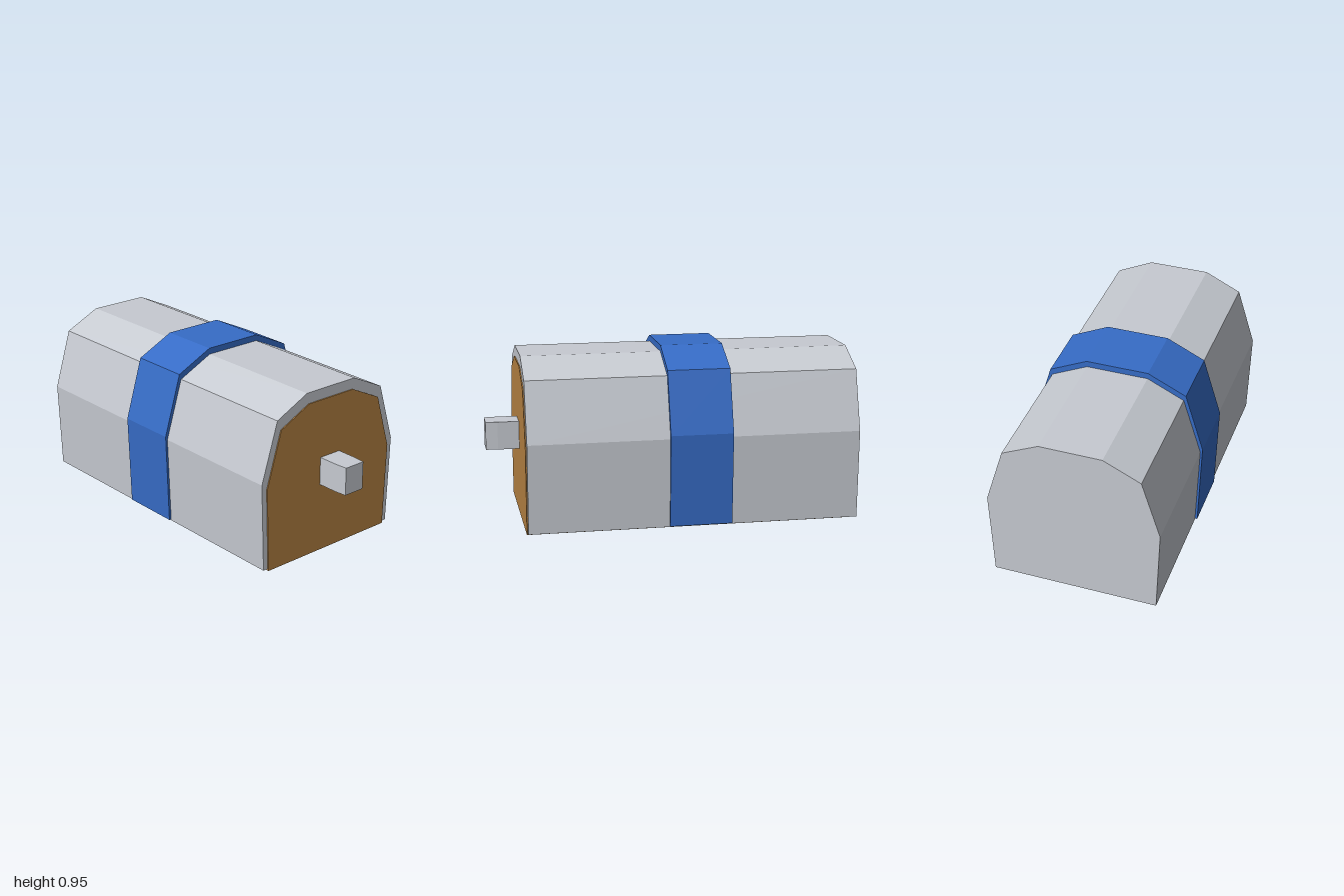
import * as THREE from 'three';

// Half profiles as [half width, height], from the base to the roof
const CORE = [[0.423, 0], [0.438, 0.467], [0.347, 0.77], [0.157, 0.862]];
const SHELL = [[0.453, 0.01], [0.47, 0.5], [0.37, 0.825], [0.169, 0.921]];
const BAND = [[0.466, 0.016], [0.482, 0.52], [0.381, 0.855], [0.171, 0.955]];

// Mirrors a half profile and extrudes it along x
function barrel(half, x0, x1) {
  const points = [
    ...half.map(([w, y]) => new THREE.Vector2(w, y)),
    ...half.map(([w, y]) => new THREE.Vector2(-w, y)).reverse(),
  ];
  const geometry = new THREE.ExtrudeGeometry(new THREE.Shape(points), {
    depth: x1 - x0, bevelEnabled: false,
  });
  return geometry.rotateY(Math.PI / 2).translate(x0, 0, 0);
}

// Upright plug with straight sides that taper slightly at the tip
function plug(y0, y1) {
  const outline = [[0.8, 0.068], [0.935, 0.068], [1, 0.062], [1, -0.062], [0.935, -0.068], [0.8, -0.068]];
  const shape = new THREE.Shape(outline.map(([x, z]) => new THREE.Vector2(x, z)));
  return new THREE.ExtrudeGeometry(shape, { depth: y1 - y0, bevelEnabled: false })
    .rotateX(-Math.PI / 2).translate(0, y0, 0);
}

function material(name, color) {
  const m = new THREE.MeshStandardMaterial({ color });
  m.name = name;
  return m;
}

export function createModel() {
  const model = new THREE.Group();
  model.name = 'bandedCapsule';
  const grey = material('light grey', 0xc6cad1);
  const brown = material('warm brown', 0xb78343);
  const blue = material('blue', 0x366cc6);

  const add = (name, geometry, mat) => {
    const mesh = new THREE.Mesh(geometry, mat);
    mesh.name = name;
    model.add(mesh);
  };

  // Core shows at the base and the open end
  add('core', barrel(CORE, -0.945, 0.818), brown);
  add('shell', barrel(SHELL, -1, 0.812), grey);
  add('band', barrel(BAND, -0.293, 0.049), blue);
  add('endPlug', plug(0.386, 0.54), grey);
  return model;
}
